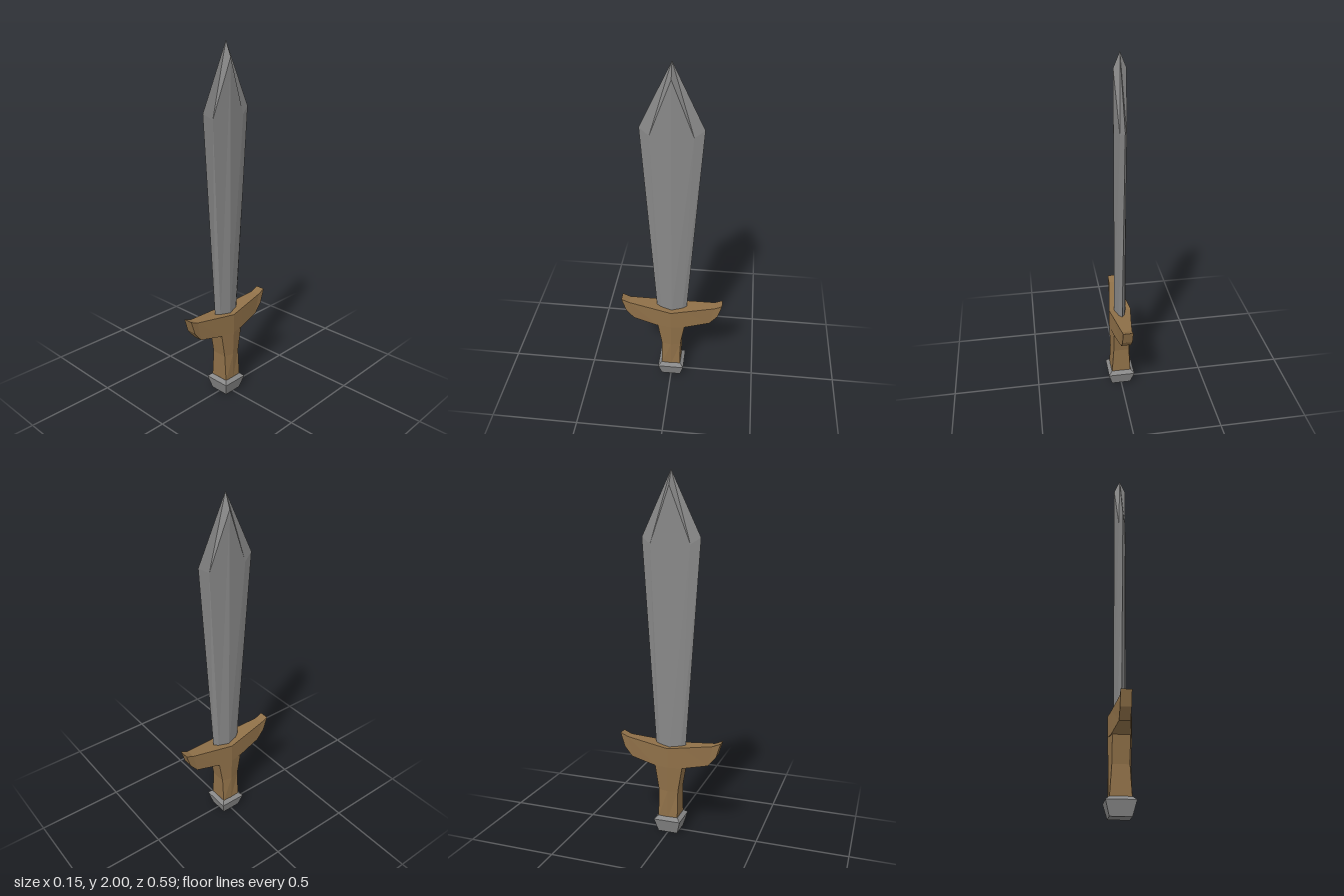
import * as THREE from 'three';

const steel = new THREE.MeshStandardMaterial({ name: 'steel', color: 0x888888, flatShading: true });
const wood = new THREE.MeshStandardMaterial({ name: 'brown wood', color: 0x8f7048, flatShading: true });

// Skins a stack of equal-sized rings of [x, y, z] points and caps both ends.
function loft(name, rings, material) {
  const pos = [];
  const tri = (a, b, c) => pos.push(...a, ...b, ...c);
  const n = rings[0].length;
  for (let r = 0; r < rings.length - 1; r++) {
    for (let i = 0; i < n; i++) {
      const j = (i + 1) % n;
      const [a, b, c, d] = [rings[r][i], rings[r][j], rings[r + 1][j], rings[r + 1][i]];
      tri(a, b, c);
      tri(a, c, d);
    }
  }
  const first = rings[0], last = rings[rings.length - 1];
  for (let i = 1; i < n - 1; i++) {
    tri(first[0], first[i + 1], first[i]);
    tri(last[0], last[i], last[i + 1]);
  }
  const geo = new THREE.BufferGeometry();
  geo.setAttribute('position', new THREE.Float32BufferAttribute(pos, 3));
  geo.computeVertexNormals();
  const mesh = new THREE.Mesh(geo, material);
  mesh.name = name;
  return mesh;
}

// Eight-sided blade section: ridges on x, bevels, cutting edges on z.
const bladeRing = (ridge, bevel, edge) => [
  [ridge[0], ridge[1], 0],
  [bevel[0], bevel[1], -bevel[2]],
  [0, edge[0], -edge[1]],
  [-bevel[0], bevel[1], -bevel[2]],
  [-ridge[0], ridge[1], 0],
  [-bevel[0], bevel[1], bevel[2]],
  [0, edge[0], edge[1]],
  [bevel[0], bevel[1], bevel[2]],
];

// Six-sided grip section with a ridge in the middle of each broad side.
const gripRing = ([y, ridge, x, z]) => [
  [ridge, y, 0], [x, y, -z], [-x, y, -z], [-ridge, y, 0], [-x, y, z], [x, y, z],
];

const squareRing = ([y, s]) => [[s, y, s], [s, y, -s], [-s, y, -s], [-s, y, s]];

export function createModel() {
  const sword = new THREE.Group();
  sword.name = 'sword';

  // Blade widening upward, then closing to a faceted point
  sword.add(loft('blade', [
    bladeRing([0.033, 0.47], [0.017, 0.47, 0.06], [0.47, 0.085]),
    bladeRing([0.033, 1.92], [0.017, 1.62, 0.112], [1.655, 0.165]),
    bladeRing([0, 2], [0, 2, 0], [2, 0]),
  ], steel));

  // Crossguard: half sections as [half width, top z, top y, bottom z, bottom y]
  const half = [
    [0.028, 0.295, 0.555, 0.27, 0.475],
    [0.028, 0.25, 0.535, 0.225, 0.42],
    [0.051, 0.08, 0.514, 0.08, 0.393],
  ];
  const guardRing = (side) => ([w, zt, yt, zb, yb]) => [
    [w, yb, side * zb], [w, yt, side * zt], [-w, yt, side * zt], [-w, yb, side * zb],
  ];
  sword.add(loft('crossguard', [
    ...half.map(guardRing(-1)),
    guardRing(1)([0.063, 0, 0.505, 0, 0.393]),
    ...half.slice().reverse().map(guardRing(1)),
  ], wood));

  // Grip flaring into the guard
  sword.add(loft('grip', [
    [0.085, 0.058, 0.056, 0.056],
    [0.25, 0.058, 0.045, 0.056],
    [0.395, 0.063, 0.045, 0.08],
  ].map(gripRing), wood));

  // Pommel with a bevelled rim
  sword.add(loft('pommel', [
    [0, 0.056], [0.077, 0.077], [0.095, 0.057],
  ].map(squareRing), steel));

  return sword;
}
